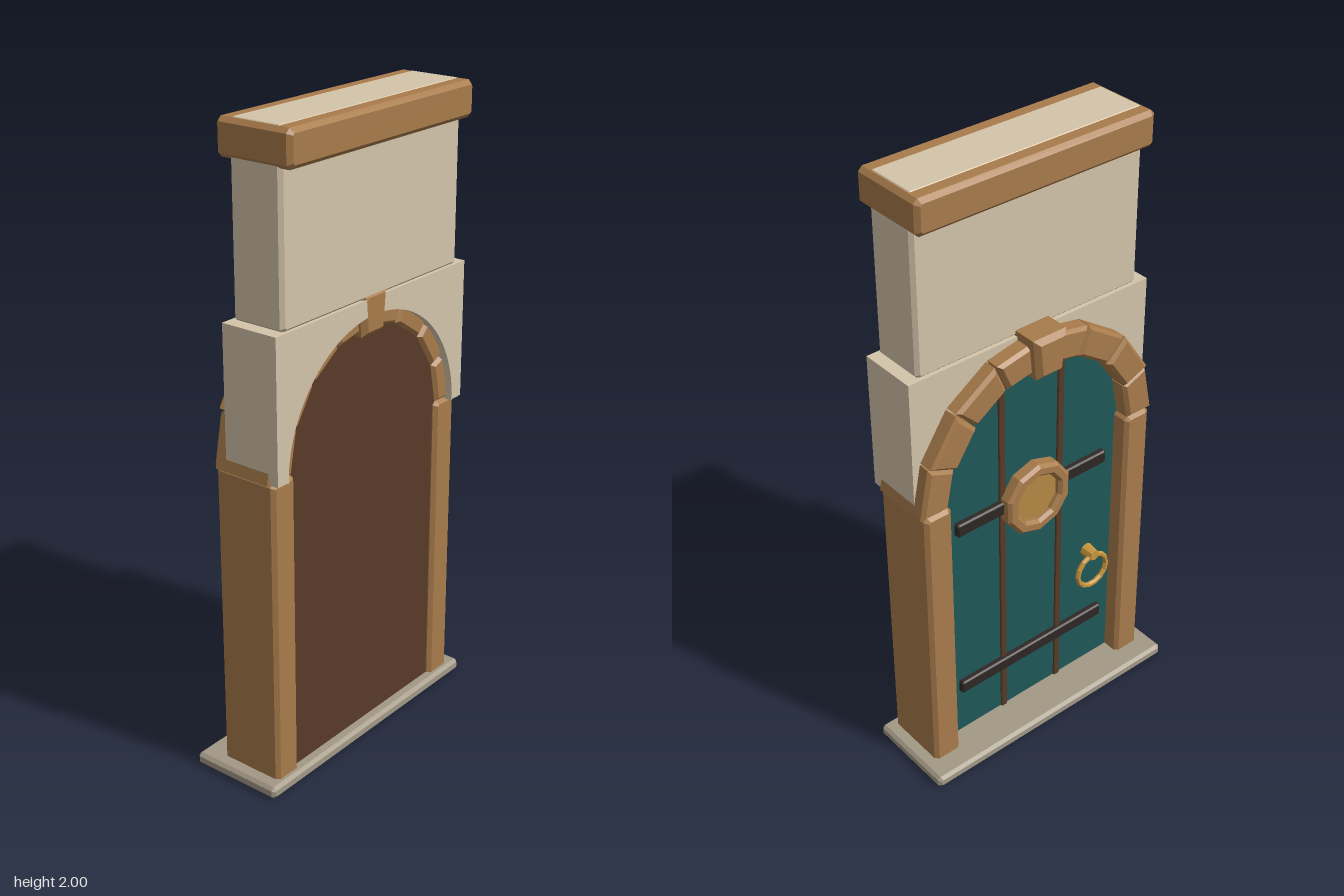
import * as THREE from 'three';

const mat = (color, side = THREE.FrontSide) =>
  new THREE.MeshStandardMaterial({ color, flatShading: true, side });

export function createModel() {
  const group = new THREE.Group();
  const wood = mat(0xa87b4b), plaster = mat(0xd4c4aa), stone = mat(0xa29885);
  const darkWood = mat(0x573a28), teal = mat(0x1f5759), iron = mat(0x2e2725);
  const brass = mat(0xc8963c), amber = mat(0xb58a45);

  const add = (name, geometry, material) => {
    const mesh = new THREE.Mesh(geometry, material);
    mesh.name = name;
    group.add(mesh);
    return mesh;
  };

  // Outline in the (z, y) plane, extruded along x with chamfered rims
  const slab = (name, shape, x0, x1, bevel, material) => {
    const geometry = new THREE.ExtrudeGeometry(shape, {
      depth: x1 - x0 - 2 * bevel, bevelEnabled: bevel > 0, bevelSize: bevel,
      bevelThickness: bevel, bevelOffset: -bevel, bevelSegments: 1, curveSegments: 24,
    });
    geometry.rotateY(Math.PI / 2);
    geometry.translate(x0 + bevel, 0, 0);
    return add(name, geometry, material);
  };
  const polygon = (points) => new THREE.Shape(points.map(([z, y]) => new THREE.Vector2(-z, y)).reverse());

  // Box with all its edges chamfered
  const block = (name, x0, x1, y0, y1, z0, z1, c, material) => slab(name, polygon([
    [z0 + c, y0], [z1 - c, y0], [z1, y0 + c], [z1, y1 - c],
    [z1 - c, y1], [z0 + c, y1], [z0, y1 - c], [z0, y0 + c],
  ].reverse()), x0, x1, c, material);

  const archShape = (r, bottom) => {
    const s = new THREE.Shape();
    s.moveTo(-r, bottom);
    s.lineTo(r, bottom);
    s.lineTo(r, 1);
    s.absarc(0, 1, r, 0, Math.PI, false);
    s.closePath();
    return s;
  };

  // Threshold and posts
  block('threshold', -0.175, 0.135, 0, 0.04, -0.475, 0.475, 0.01, stone);
  for (const side of [-1, 1]) {
    const z = side * 0.383;
    block(side > 0 ? 'leftPost' : 'rightPost', -0.102, 0.115, 0.002, 1.01, z - 0.048, z + 0.048, 0.012, wood);
  }

  // Door: back panel, coloured front, plank joints and straps
  slab('doorBackPanel', archShape(0.365, 0.002), 0, 0.1, 0, darkWood);
  slab('doorFront', archShape(0.362, 0.002), -0.045, 0, 0, teal);
  for (const z of [-0.112, 0.112]) {
    block('plankJoint', -0.052, -0.03, 0.03, 1.335, z - 0.011, z + 0.011, 0.002, darkWood);
  }
  for (const y of [0.235, 0.87]) {
    block('doorStrap', -0.064, -0.04, y - 0.023, y + 0.023, -0.29, 0.29, 0.005, iron);
  }

  // Lower wall with the arched opening
  const wall = new THREE.Shape();
  wall.moveTo(0.387, 1.01);
  wall.lineTo(0.435, 1.01);
  wall.lineTo(0.435, 1.447);
  wall.lineTo(-0.435, 1.447);
  wall.lineTo(-0.435, 1.01);
  wall.lineTo(-0.387, 1.01);
  wall.absarc(0, 1.005, 0.39, Math.PI, 0, true);
  slab('lowerWall', wall, -0.055, 0.135, 0, plaster);

  // Upper wall, showing through the top of the cornice
  block('upperWall', -0.048, 0.13, 1.443, 2, -0.4, 0.4, 0.011, plaster);
  block('cornice', -0.088, 0.17, 1.89, 1.998, -0.408, 0.408, 0.013, wood);

  // Eight wedge stones around the arch, with slightly varied depths
  const fronts = [-0.1, -0.11, -0.105, -0.108];
  const step = Math.PI / 8;
  for (let i = 0; i < 8; i++) {
    const a = i * step + 0.006, b = (i + 1) * step - 0.006;
    const at = (r, t) => new THREE.Vector2(r * Math.cos(t), 1.005 + r * Math.sin(t));
    const wedge = new THREE.Shape([at(0.345, a), at(0.442, a), at(0.442, b), at(0.345, b)]);
    slab('archBlock', wedge, fronts[Math.min(i, 7 - i)], 0.112, 0.011, wood);
  }
  slab('keystone', new THREE.Shape([[-0.048, 1.332], [0.048, 1.332], [0.06, 1.465], [-0.06, 1.465]]
    .map(([s, y]) => new THREE.Vector2(s, y))), -0.14, 0.135, 0.016, wood);

  // Round window in a faceted frame
  const circle = (Type, r) => new Type(Array.from({ length: 10 }, (_, i) => {
    const t = (i + 0.5) * Math.PI / 5;
    return new THREE.Vector2(r * Math.cos(t), 0.865 + r * Math.sin(t));
  }));
  const frame = circle(THREE.Shape, 0.125);
  frame.holes.push(circle(THREE.Path, 0.082));
  slab('windowFrame', frame, -0.092, -0.04, 0.01, wood);
  slab('windowPane', circle(THREE.Shape, 0.095), -0.07, -0.04, 0, amber);

  // Ring handle on its mount
  const ring = add('handleRing', new THREE.TorusGeometry(0.06, 0.009, 6, 14), brass);
  ring.rotation.y = Math.PI / 2;
  ring.position.set(-0.076, 0.447, 0.235);
  const mount = add('handleMount', new THREE.CylinderGeometry(0.018, 0.024, 0.045, 8), brass);
  mount.rotation.z = Math.PI / 2;
  mount.position.set(-0.065, 0.512, 0.235);

  return group;
}
